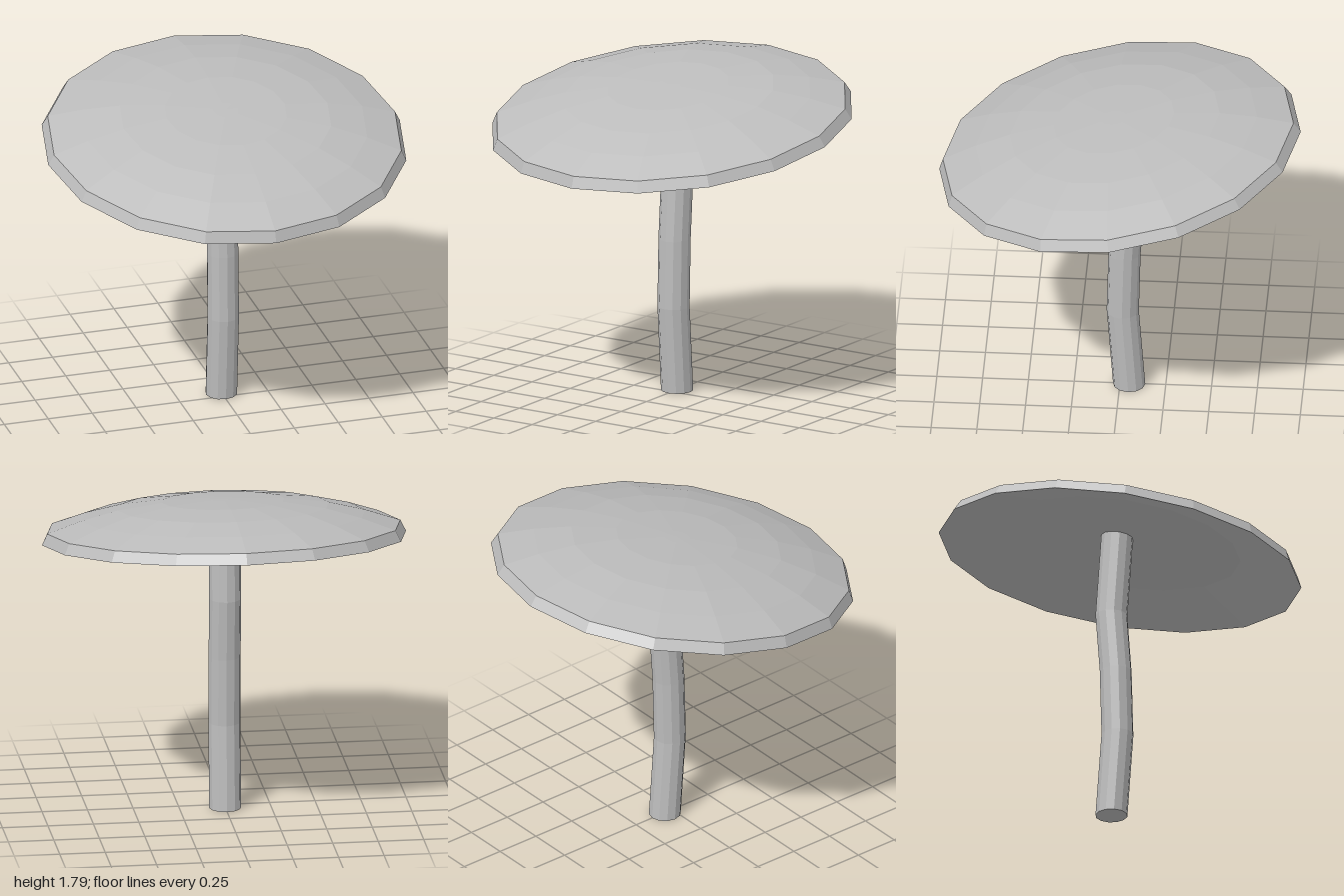
import * as THREE from 'three';

const grey = new THREE.MeshStandardMaterial({ color: 0xbcbcbc, flatShading: true });
grey.name = 'plain grey';

const v2 = (pairs) => pairs.map(([x, y]) => new THREE.Vector2(x, y));

// Tilted dome: hollow underside, thin bevelled rim, faceted top
function makeCap() {
  const profile = v2([
    [0, 0.14], [0.65, 0.1], [1, 0],
    [0.97, 0.061], [0.78, 0.125], [0.58, 0.175], [0.335, 0.207], [0.07, 0.216], [0, 0.217],
  ]);
  const cap = new THREE.Mesh(new THREE.LatheGeometry(profile, 16), grey);
  cap.name = 'cap';
  cap.position.y = 1.5275;
  cap.rotation.x = 0.1635;
  return cap;
}

// Gently bent stem: a cylinder whose rings are moved to a list of heights and z offsets
function makeStem() {
  const rings = [[0, -0.05], [0.48, -0.015], [0.86, -0.025], [1.2, -0.05], [1.69, -0.015]];
  const n = rings.length - 1;
  const geometry = new THREE.CylinderGeometry(0.088, 0.088, n, 12, n);
  const p = geometry.attributes.position;
  for (let i = 0; i < p.count; i++) {
    const [y, z] = rings[Math.round(p.getY(i) + n / 2)];
    p.setY(i, y);
    p.setZ(i, p.getZ(i) + z);
  }
  geometry.computeVertexNormals();
  const stem = new THREE.Mesh(geometry, grey);
  stem.name = 'stem';
  return stem;
}

export function createModel() {
  const group = new THREE.Group();
  group.name = 'mushroom';
  group.add(makeStem(), makeCap());
  return group;
}
